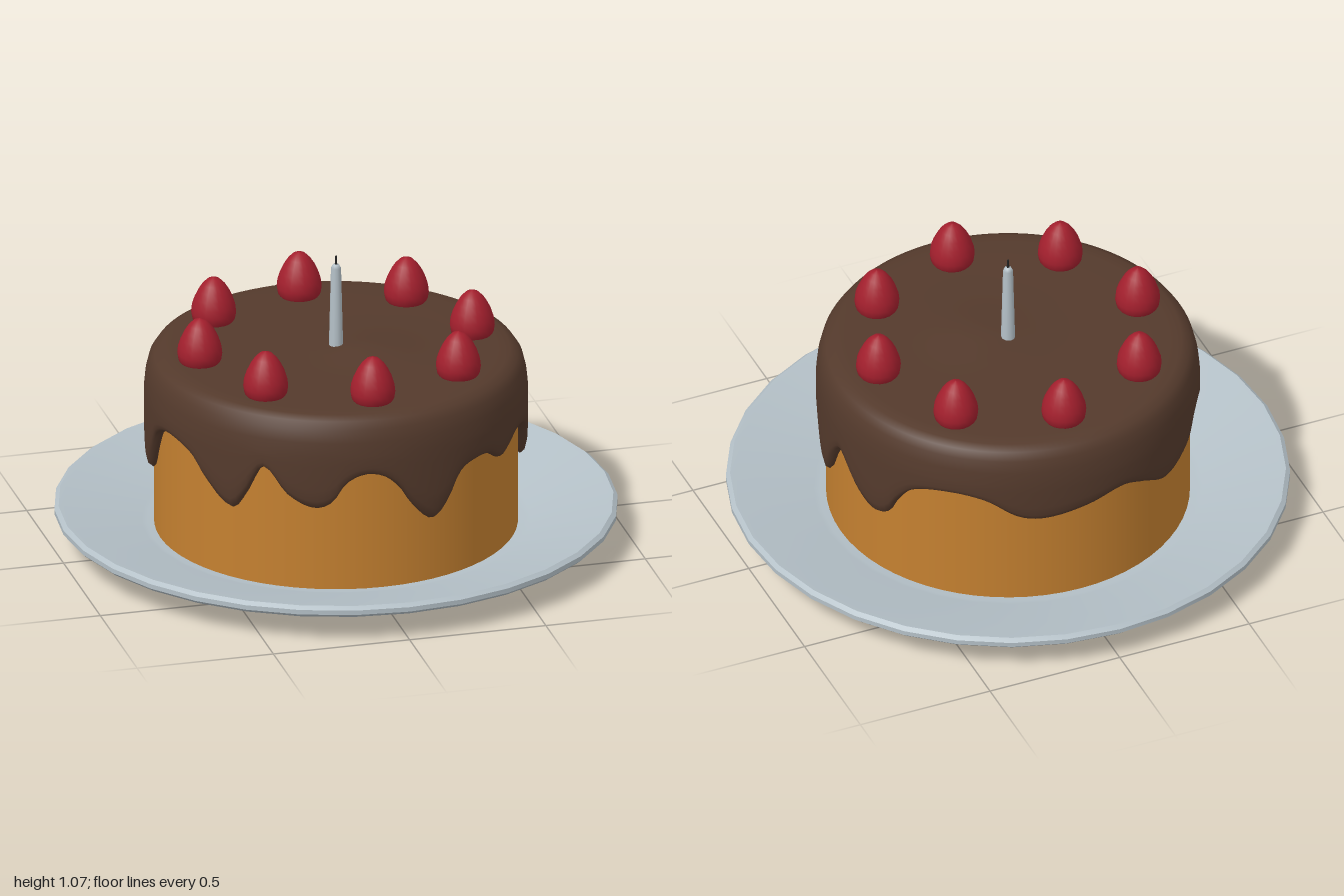
import * as THREE from 'three';
import { mergeVertices, toCreasedNormals } from 'three/addons/utils/BufferGeometryUtils.js';

const paint = (name, color) => {
  const m = new THREE.MeshStandardMaterial({ color });
  m.name = name;
  return m;
};
const lathe = (pts, segments) =>
  new THREE.LatheGeometry(pts.map(([r, y]) => new THREE.Vector2(r, y)), segments);

// Lower edge of the icing: [degrees from the front towards +x, height]
const DRIPS = [
  [0, 0.49], [5, 0.44], [9, 0.37], [16, 0.3], [21, 0.35], [26, 0.45], [33, 0.48], [39, 0.475],
  [46, 0.435], [56, 0.49], [66, 0.47], [73, 0.41], [82, 0.28], [89, 0.4], [95, 0.465], [103, 0.37],
  [111, 0.315], [117, 0.34], [121, 0.42], [127, 0.49], [139, 0.52], [150, 0.5], [160, 0.43],
  [168, 0.415], [182, 0.44], [194, 0.47], [202, 0.44], [212, 0.385], [221, 0.395], [228, 0.43],
  [233, 0.5], [240, 0.52], [248, 0.46], [254, 0.4], [263, 0.3], [269, 0.39], [274, 0.48],
  [283, 0.52], [295, 0.49], [301, 0.42], [311, 0.335], [316, 0.4], [321, 0.51], [324, 0.51],
  [330, 0.42], [338, 0.375], [344, 0.4], [348, 0.47], [354, 0.505],
];

// Smooth periodic curve through the drip points
function dripHeight(deg) {
  const n = DRIPS.length;
  const at = (i) => {
    const turn = Math.floor(i / n);
    const [a, y] = DRIPS[i - turn * n];
    return [a + 360 * turn, y];
  };
  let i = n - 1;
  while (i > 0 && DRIPS[i][0] > deg) i--;
  const [p, q, r, s] = [at(i - 1), at(i), at(i + 1), at(i + 2)];
  const w = r[0] - q[0];
  const m0 = ((r[1] - p[1]) / (r[0] - p[0])) * w;
  const m1 = ((s[1] - q[1]) / (s[0] - q[0])) * w;
  const t = (deg - q[0]) / w, t2 = t * t, t3 = t2 * t;
  return (2 * t3 - 3 * t2 + 1) * q[1] + (t3 - 2 * t2 + t) * m0 + (3 * t2 - 2 * t3) * r[1] + (t3 - t2) * m1;
}

// Icing: a lathed shell whose wall is stretched down to the drip line
function icingGeometry() {
  const profile = [
    [0.638, 0.315], [0.655, 0.3], [0.671, 0.313], [0.679, 0.345], [0.681, 0.4], [0.681, 0.46],
    [0.681, 0.52], [0.68, 0.58], [0.675, 0.63], [0.664, 0.675], [0.645, 0.703], [0.615, 0.717],
    [0.57, 0.72], [0.45, 0.72], [0.34, 0.72], [0.26, 0.72], [0.18, 0.72], [0.1, 0.72], [0, 0.72],
  ];
  const geo = lathe(profile, 192);
  const pos = geo.attributes.position;
  for (let i = 0; i < pos.count; i++) {
    const x = pos.getX(i), z = pos.getZ(i);
    let y = pos.getY(i);
    if (y < 0.58) {
      const deg = (THREE.MathUtils.radToDeg(Math.atan2(x, z)) + 360) % 360;
      y = 0.58 + ((y - 0.58) * (0.58 - dripHeight(deg))) / 0.28;
    } else if (y > 0.71) {
      // gentle swell on the top
      y += 0.022 * Math.exp(-((x - 0.1) ** 2 + (z - 0.07) ** 2) / 0.025);
    }
    pos.setY(i, y);
  }
  geo.deleteAttribute('normal');
  geo.deleteAttribute('uv');
  const welded = mergeVertices(geo, 1e-4);
  welded.computeVertexNormals();
  return welded;
}

export function createModel() {
  const china = paint('pale china', 0xb4c0c7);
  const spongeMat = paint('golden sponge', 0xc48030);
  const chocolate = paint('chocolate', 0x543a2c);
  const red = paint('berry red', 0xa31f2d);
  const black = paint('wick black', 0x222222);

  const cake = new THREE.Group();
  cake.name = 'cake';
  const add = (name, geometry, material, parent = cake) => {
    const mesh = new THREE.Mesh(geometry, material);
    mesh.name = name;
    parent.add(mesh);
    return mesh;
  };

  // Plate with a sloping underside, a thin rim and a shallow well
  const plate = lathe([
    [0, 0], [0.69, 0], [0.985, 0.095], [1, 0.108], [1, 0.125], [0.985, 0.137],
    [0.965, 0.133], [0.69, 0.065], [0.67, 0.06], [0, 0.06],
  ], 32);
  add('plate', toCreasedNormals(plate, 0.5), china);

  // Sponge and its icing
  add('sponge', new THREE.CylinderGeometry(0.645, 0.645, 0.56, 64), spongeMat).position.y = 0.34;
  add('icing', icingGeometry(), chocolate);

  // Ring of eight berries
  const berries = new THREE.Group();
  berries.name = 'berries';
  cake.add(berries);
  const berryGeo = lathe([
    [0, -0.015], [0.06, -0.012], [0.076, 0.01], [0.08, 0.035], [0.077, 0.062], [0.068, 0.09],
    [0.055, 0.117], [0.04, 0.14], [0.022, 0.158], [0, 0.166],
  ], 20);
  for (let i = 0; i < 8; i++) {
    const a = (i * Math.PI) / 4;
    add('berry', berryGeo, red, berries).position.set(0.5 * Math.sin(a), 0.72, 0.5 * Math.cos(a));
  }

  // Candle with its wick
  add('candle', lathe([[0.026, 0.7], [0.018, 1.025], [0.012, 1.037], [0, 1.04]], 10), china);
  add('wick', new THREE.CylinderGeometry(0.004, 0.005, 0.05, 6), black).position.y = 1.045;

  return cake;
}
